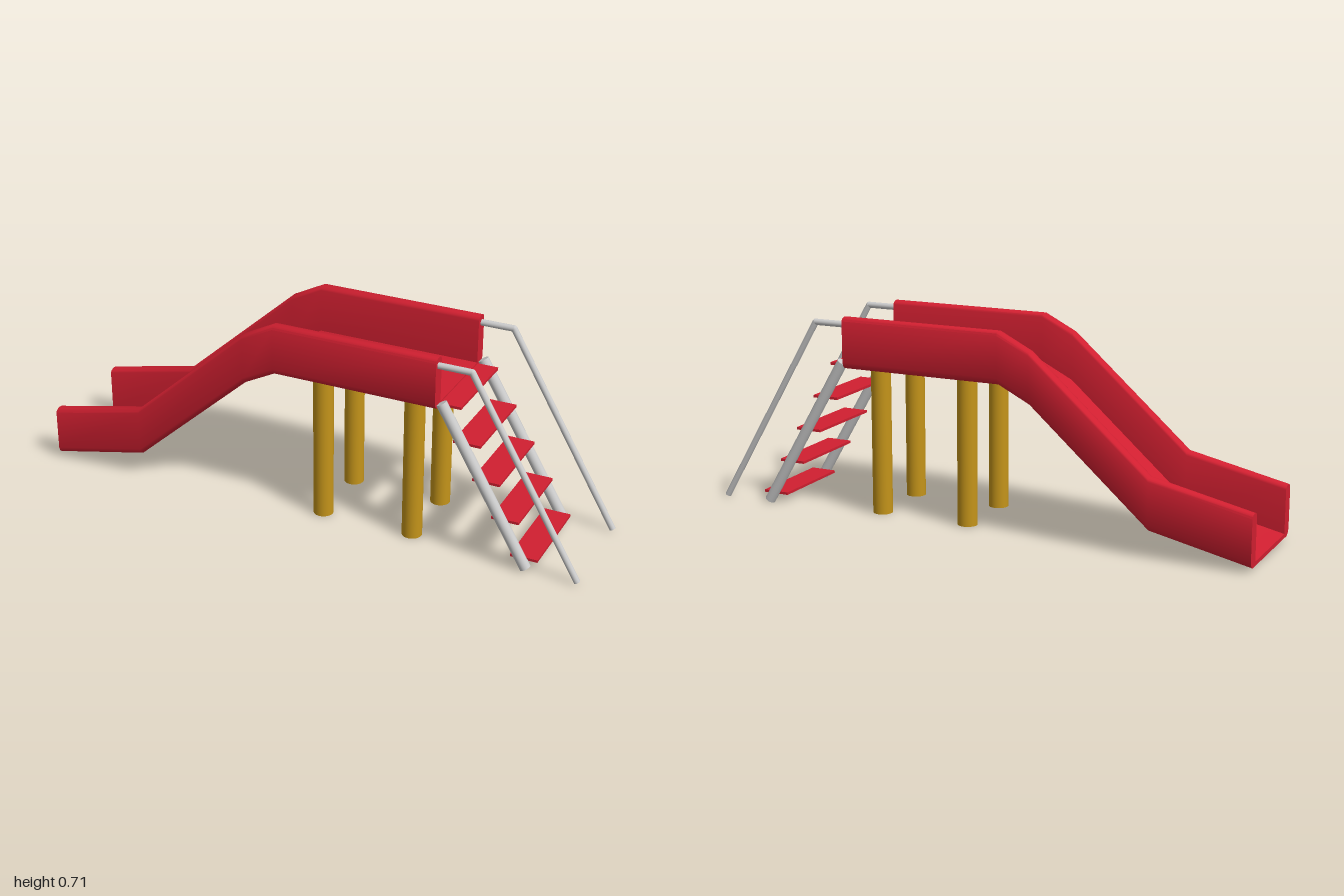
import * as THREE from 'three';
import { toCreasedNormals } from 'three/addons/utils/BufferGeometryUtils.js';

const red = new THREE.MeshStandardMaterial({ color: 0xd01f30 });
const yellow = new THREE.MeshStandardMaterial({ color: 0xc4941a });
const grey = new THREE.MeshStandardMaterial({ color: 0xcccccc });

function add(parent, name, geometry, material) {
  const mesh = new THREE.Mesh(geometry, material);
  mesh.name = name;
  parent.add(mesh);
  return mesh;
}

// Straight round bar between two points
function bar(parent, name, a, b, radius, material) {
  const dir = b.clone().sub(a);
  const mesh = add(parent, name, new THREE.CylinderGeometry(radius, radius, dir.length(), 24), material);
  mesh.position.copy(a).add(b).multiplyScalar(0.5);
  mesh.quaternion.setFromUnitVectors(new THREE.Vector3(0, 1, 0), dir.normalize());
  return mesh;
}

// U-shaped channel: one section extruded in steps, each step moved to a point of the path
function channelGeometry() {
  const half = [
    [0.185, 0], [0.194, 0.003], [0.202, 0.011], [0.207, 0.024],
    [0.207, 0.168], [0.204, 0.175], [0.195, 0.18], [0.184, 0.182],
    [0.172, 0.18], [0.163, 0.175], [0.16, 0.168], [0.16, 0.015],
  ];
  const outline = [...half, ...half.map(([x, y]) => [-x, y]).reverse()];
  const shape = new THREE.Shape(outline.map(([x, y]) => new THREE.Vector2(x, y)));
  const path = [[-1, 0.015], [-0.648, 0.092], [-0.222, 0.467], [-0.107, 0.525], [0.482, 0.525]];
  const steps = path.length - 1;
  const geo = new THREE.ExtrudeGeometry(shape, { depth: steps, steps, bevelEnabled: false });
  const p = geo.attributes.position;
  for (let i = 0; i < p.count; i++) {
    const [x, y] = path[Math.round(p.getZ(i))];
    p.setXYZ(i, x, y + p.getY(i), -p.getX(i));
  }
  return toCreasedNormals(geo, 0.7);
}

export function createModel() {
  const group = new THREE.Group();
  group.name = 'playgroundSlide';

  add(group, 'slideChannel', channelGeometry(), red);

  // Support posts
  for (const x of [0.047, 0.382]) {
    for (const z of [0.133, -0.115]) {
      add(group, 'supportPost', new THREE.CylinderGeometry(0.035, 0.035, 0.53, 32), yellow).position.set(x, 0.265, z);
    }
  }

  // Ladder stringers and bent handrails
  for (const side of [1, -1]) {
    const v = (x, y, z) => new THREE.Vector3(x, y, z * side);
    bar(group, 'ladderStringer', v(0.495, 0.546, 0.183), v(0.81, 0.009, 0.183), 0.019, grey);
    const rail = new THREE.Group();
    rail.name = 'handrail';
    group.add(rail);
    const elbow = v(0.598, 0.679, 0.186);
    bar(rail, 'handrailTop', v(0.47, 0.679, 0.186), elbow, 0.011, grey);
    bar(rail, 'handrailSlope', elbow, v(0.99, 0.006, 0.186), 0.011, grey);
    add(rail, 'handrailElbow', new THREE.SphereGeometry(0.011, 20, 12), grey).position.copy(elbow);
  }

  // Ladder steps
  for (let i = 0; i < 5; i++) {
    add(group, 'ladderStep', new THREE.BoxGeometry(0.096, 0.009, 0.33), red)
      .position.set(0.508 + i * 0.0721, 0.531 - i * 0.1246, 0);
  }
  return group;
}
